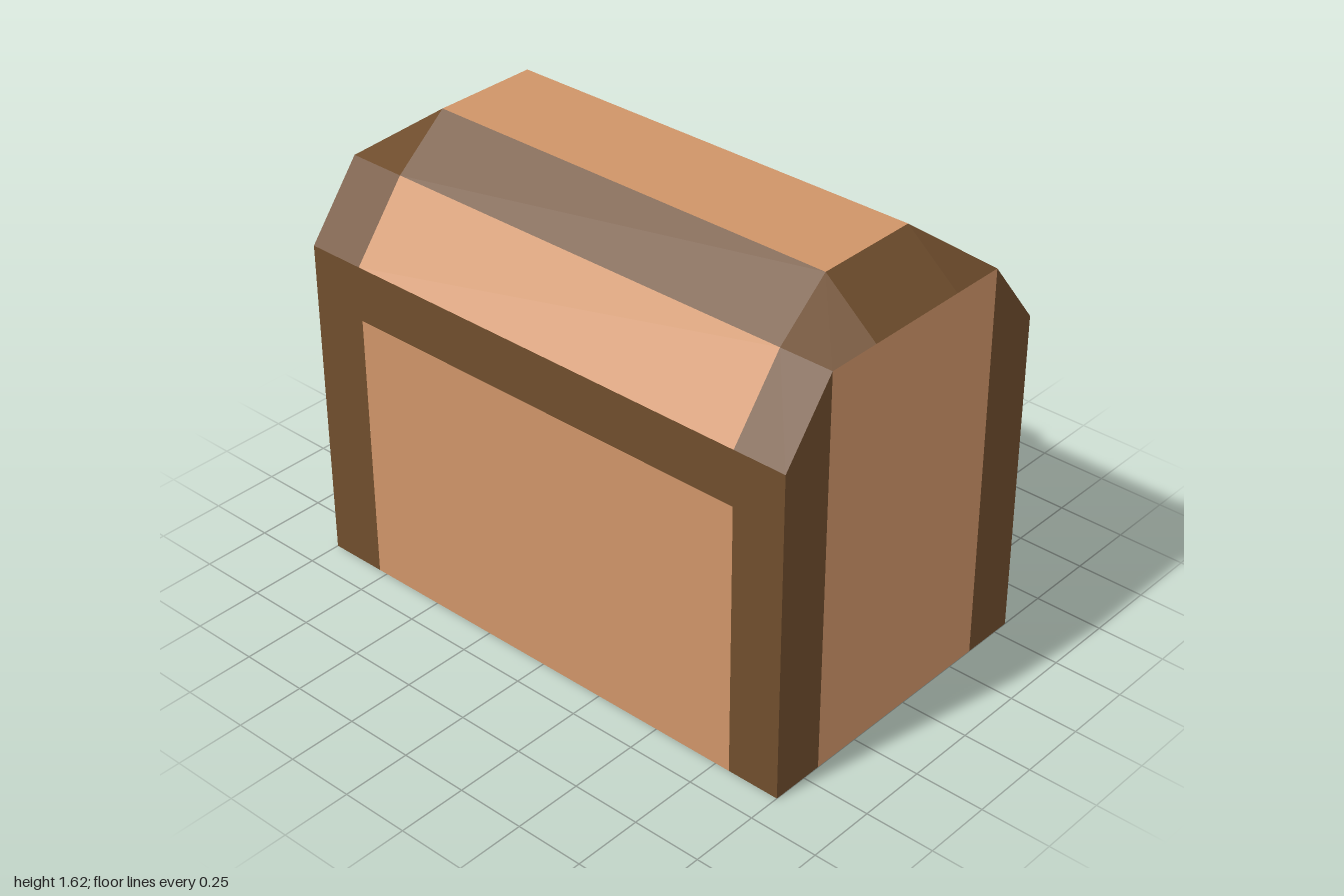
import * as THREE from 'three';

const LIGHT = 0xcf9468, DARK = 0x6f4d2d, BLACK = 0x0d0d0d;

// Side-to-side, front-to-back and height lines of the chest
const X = [-0.63, -0.43, -0.23, 0.16, 0.36, 0.56];
const Z = [-1, -0.785, 0.805, 1];
const BAND = 1.0, RIM = 1.2, SHOULDER = 1.455, TOP = 1.62;
const CENTRE = new THREE.Vector3(-0.035, 0.75, 0);

// One mesh made of four-cornered panels, each facing away from the chest's centre
function panels(name, color, quads) {
  const positions = [], normals = [];
  for (const quad of quads) {
    let p = quad.map(c => new THREE.Vector3(...c));
    const n = p[2].clone().sub(p[0]).cross(p[3].clone().sub(p[1])).normalize();
    if (n.dot(p[0].clone().sub(CENTRE)) < 0) {
      n.negate();
      p = [p[0], p[3], p[2], p[1]];
    }
    for (const i of [0, 1, 2, 0, 2, 3]) {
      positions.push(...p[i].toArray());
      normals.push(...n.toArray());
    }
  }
  const geometry = new THREE.BufferGeometry();
  geometry.setAttribute('position', new THREE.Float32BufferAttribute(positions, 3));
  geometry.setAttribute('normal', new THREE.Float32BufferAttribute(normals, 3));
  const mesh = new THREE.Mesh(geometry, new THREE.MeshStandardMaterial({ color }));
  mesh.name = name;
  return mesh;
}

// Panel builders: end wall, side strip (may slope inwards), level panel
const endWall = (z, xa, xb, ya, yb) => [[xa, 0, z], [xb, 0, z], [xb, yb, z], [xa, ya, z]];
const sideStrip = (xa, ya, xb, yb, za, zb) => [[xa, ya, za], [xa, ya, zb], [xb, yb, zb], [xb, yb, za]];
const level = (y, xa, xb, za, zb) => [[xa, y, za], [xb, y, za], [xb, y, zb], [xa, y, zb]];

export function createModel() {
  const chest = new THREE.Group();
  chest.name = 'chest';
  const wall = [], trim = [], lidPanel = [], lidTrim = [];

  // End walls: tall light board between dark corner boards
  for (const z of [Z[0], Z[3]]) {
    wall.push(endWall(z, X[1], X[4], SHOULDER, SHOULDER));
    trim.push(endWall(z, X[0], X[1], RIM, SHOULDER), endWall(z, X[4], X[5], SHOULDER, RIM));
  }

  // Long walls and the two lid slopes above each
  for (const [outer, shoulder, ridge] of [[X[0], X[1], X[2]], [X[5], X[4], X[3]]]) {
    wall.push(sideStrip(outer, 0, outer, BAND, Z[1], Z[2]));
    trim.push(sideStrip(outer, BAND, outer, RIM, Z[1], Z[2]));
    lidPanel.push(sideStrip(outer, RIM, shoulder, SHOULDER, Z[1], Z[2]));
    lidTrim.push(sideStrip(shoulder, SHOULDER, ridge, TOP, Z[1], Z[2]));
    for (const [zOut, zIn] of [[Z[0], Z[1]], [Z[3], Z[2]]]) {
      trim.push(sideStrip(outer, 0, outer, RIM, zOut, zIn));
      lidTrim.push(sideStrip(outer, RIM, shoulder, SHOULDER, zOut, zIn));
      // Hipped corner, folded along the diagonal
      lidTrim.push([[shoulder, SHOULDER, zOut], [shoulder, SHOULDER, zIn], [ridge, TOP, zIn], [ridge, SHOULDER, zOut]]);
    }
  }

  // Lid end slopes and flat top
  for (const [zOut, zIn] of [[Z[0], Z[1]], [Z[3], Z[2]]]) {
    lidTrim.push([[X[2], SHOULDER, zOut], [X[3], SHOULDER, zOut], [X[3], TOP, zIn], [X[2], TOP, zIn]]);
  }
  lidPanel.push(level(TOP, X[2], X[3], Z[1], Z[2]));

  // Underside: light board in a dark frame
  const base = [level(0, X[1], X[4], Z[1], Z[2])];
  const baseFrame = [
    level(0, X[0], X[1], Z[0], Z[3]), level(0, X[4], X[5], Z[0], Z[3]),
    level(0, X[1], X[4], Z[0], Z[1]), level(0, X[1], X[4], Z[2], Z[3]),
  ];

  chest.add(
    panels('wallPanels', LIGHT, wall), panels('wallTrim', DARK, trim),
    panels('lidPanels', LIGHT, lidPanel), panels('lidTrim', DARK, lidTrim),
    panels('basePanel', LIGHT, base), panels('baseFrame', DARK, baseFrame),
  );

  // Latch block with a dark face plate
  const latch = new THREE.Mesh(
    new THREE.BoxGeometry(0.065, 0.165, 0.44),
    new THREE.MeshStandardMaterial({ color: LIGHT }));
  latch.name = 'latch';
  latch.position.set(0.5925, 1.0925, 0.015);
  const plate = new THREE.Mesh(
    new THREE.PlaneGeometry(0.36, 0.135),
    new THREE.MeshStandardMaterial({ color: BLACK }));
  plate.name = 'latchPlate';
  plate.rotation.y = Math.PI / 2;
  plate.position.set(0.627, 1.0925, 0.015);
  chest.add(latch, plate);

  return chest;
}
